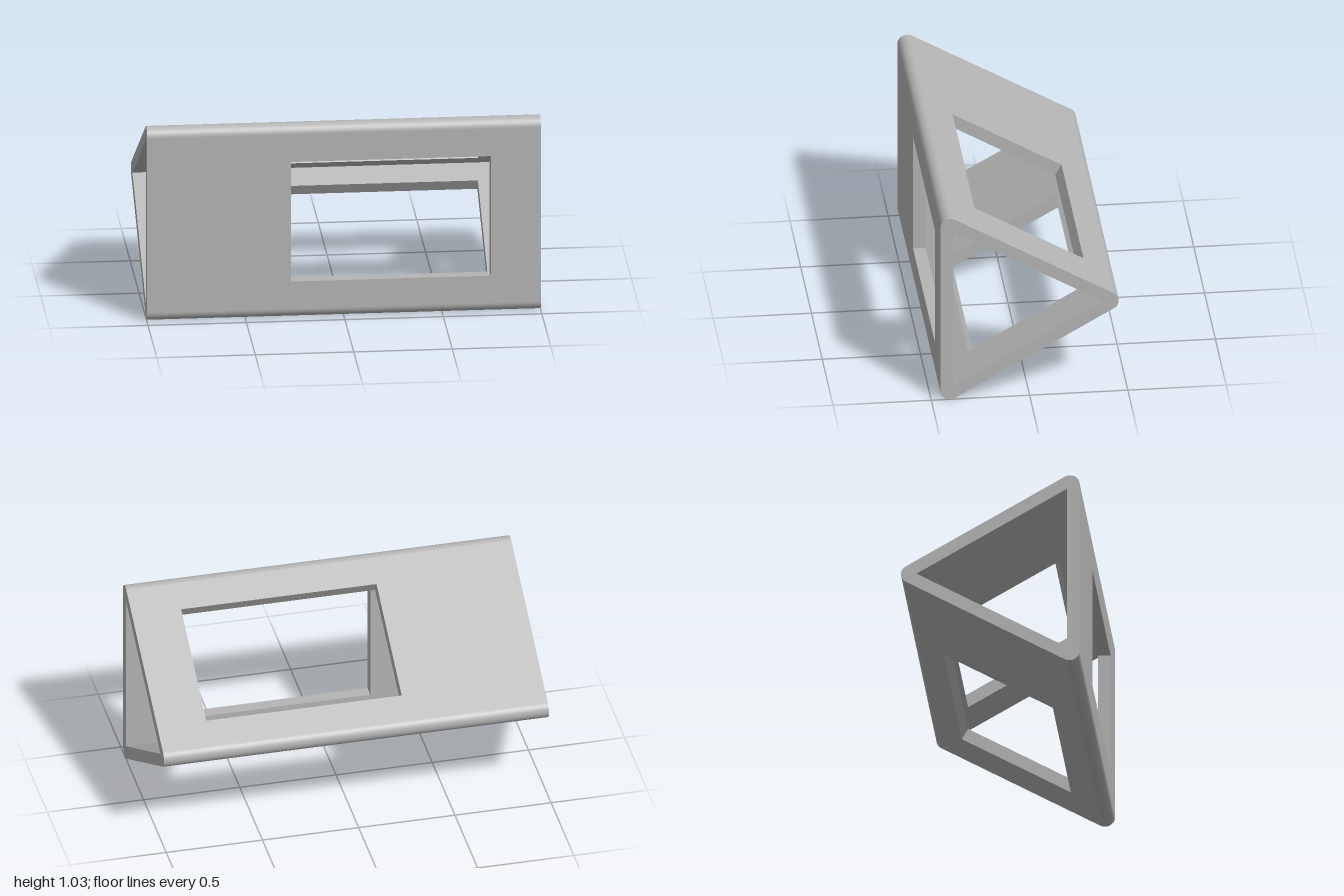
import * as THREE from 'three';

const LENGTH = 2;
const SIDE = 0.932;                       // triangle through the corner centres
const RADIUS = 0.05;                      // outer corner rounding
const WALL = 0.0645;
const APOTHEM = SIDE / (2 * Math.sqrt(3));
const OUTER = APOTHEM + RADIUS;           // centre to outer face
const INNER = OUTER - WALL;               // centre to inner face
const INNER_SIDE = INNER * 2 * Math.sqrt(3);
const WINDOW = { x: 0.2375, w: 1.015, h: 0.64 };

function rectPoints(cx, w, h) {
  return [[-1, -1], [1, -1], [1, 1], [-1, 1]].map(([i, j]) => new THREE.Vector2(cx + i * w / 2, j * h / 2));
}

// Flat wall face with its window cut out
function wallFace(height, windowX) {
  const shape = new THREE.Shape(rectPoints(0, LENGTH, height));
  shape.holes.push(new THREE.Path(rectPoints(windowX, WINDOW.w, WINDOW.h)));
  return new THREE.ShapeGeometry(shape);
}

// Rounded triangle ring, with one corner pointing along startAngle
function endFace(startAngle) {
  const shape = new THREE.Shape();
  const inner = [];
  for (let k = 0; k < 3; k++) {
    const a = startAngle + k * Math.PI * 2 / 3;
    const c = Math.cos(a), s = Math.sin(a);
    shape.absarc(2 * APOTHEM * c, 2 * APOTHEM * s, RADIUS, a - Math.PI / 3, a + Math.PI / 3, false);
    inner.push(new THREE.Vector2(2 * INNER * c, 2 * INNER * s));
  }
  shape.holes.push(new THREE.Path(inner));
  return new THREE.ShapeGeometry(shape, 16);
}

export function createModel() {
  const grey = new THREE.MeshStandardMaterial({ color: 0xb4b4b4 });
  grey.name = 'plain grey';

  const model = new THREE.Group();
  model.name = 'triangularFrame';
  const body = new THREE.Group();
  body.name = 'body';
  body.position.set(0, SIDE / 2 + RADIUS, 2 * APOTHEM - SIDE * Math.sqrt(3) / 4);
  model.add(body);

  const add = (parent, name, geometry) => {
    const mesh = new THREE.Mesh(geometry, grey);
    mesh.name = name;
    parent.add(mesh);
  };

  // Three identical walls, each with the rounded corner that follows it
  ['frontWall', 'upperWall', 'lowerWall'].forEach((name, k) => {
    const wall = new THREE.Group();
    wall.name = name;
    wall.rotation.x = -k * Math.PI * 2 / 3;
    body.add(wall);

    add(wall, 'outerFace', wallFace(SIDE, WINDOW.x).translate(0, 0, OUTER));
    add(wall, 'innerFace', wallFace(INNER_SIDE, -WINDOW.x).rotateY(Math.PI).translate(0, 0, INNER));

    // Window reveals, facing into the opening
    const mid = (OUTER + INNER) / 2;
    for (const s of [-1, 1]) {
      add(wall, 'windowSill', new THREE.PlaneGeometry(WINDOW.w, WALL)
        .rotateX(s * Math.PI / 2).translate(WINDOW.x, s * WINDOW.h / 2, mid));
      add(wall, 'windowJamb', new THREE.PlaneGeometry(WALL, WINDOW.h)
        .rotateY(-s * Math.PI / 2).translate(WINDOW.x + s * WINDOW.w / 2, 0, mid));
    }

    add(wall, 'roundedCorner',
      new THREE.CylinderGeometry(RADIUS, RADIUS, LENGTH, 20, 1, true, 0, Math.PI * 2 / 3)
        .rotateZ(Math.PI / 2).translate(0, SIDE / 2, APOTHEM));
  });

  // Open ends
  add(body, 'leftEnd', endFace(0).rotateY(Math.PI / 2).translate(LENGTH / 2, 0, 0));
  add(body, 'rightEnd', endFace(Math.PI).rotateY(-Math.PI / 2).translate(-LENGTH / 2, 0, 0));

  return model;
}
